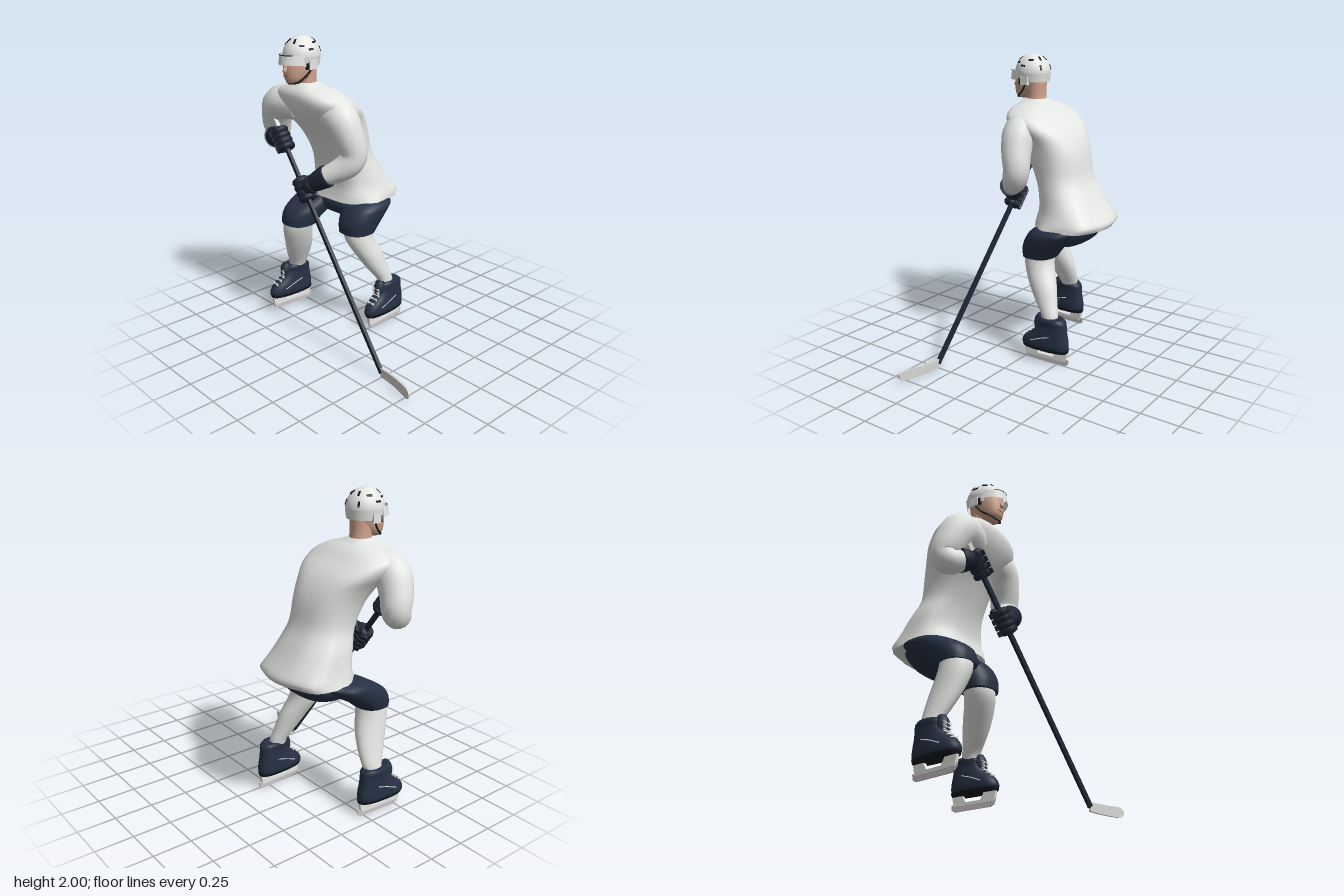
import * as THREE from 'three';

const mat = (name, color, side = THREE.FrontSide) => {
  const m = new THREE.MeshStandardMaterial({ color, side });
  m.name = name;
  return m;
};
const V = (x, y, z) => new THREE.Vector3(x, y, z);
const spline = pts => new THREE.CatmullRomCurve3(pts, false, 'catmullrom', 0.5);

// Skin a list of rings {c, u, v} (centre and two half axes) into a closed smooth body
function skin(rings, seg, n = 2, ripple = () => 1) {
  const pos = [], idx = [];
  const addRing = (r, t) => {
    for (let j = 0; j < seg; j++) {
      const a = (j / seg) * Math.PI * 2, k = ripple(a, t);
      const e = w => k * Math.sign(w) * Math.pow(Math.abs(w), 2 / n);
      const p = r.c.clone().addScaledVector(r.u, e(Math.cos(a))).addScaledVector(r.v, e(Math.sin(a)));
      pos.push(p.x, p.y, p.z);
    }
  };
  const last = rings.length - 1;
  rings.forEach((r, i) => addRing(r, i / last));
  for (let i = 0; i < last; i++) for (let j = 0; j < seg; j++) {
    const k = (j + 1) % seg, a = i * seg + j, b = i * seg + k;
    idx.push(a, a + seg, b, b, a + seg, b + seg);
  }
  // End caps with their own vertices
  for (const end of [0, last]) {
    const s = pos.length / 3;
    addRing(rings[end], end / last);
    pos.push(rings[end].c.x, rings[end].c.y, rings[end].c.z);
    for (let j = 0; j < seg; j++) {
      const a = s + j, b = s + (j + 1) % seg;
      if (end) idx.push(a, s + seg, b);
      else idx.push(a, b, s + seg);
    }
  }
  const g = new THREE.BufferGeometry();
  g.setAttribute('position', new THREE.Float32BufferAttribute(pos, 3));
  g.setIndex(idx);
  g.computeVertexNormals();
  return g;
}

// Horizontal slices, bottom to top: [y, centre x, half width, front z, back z]
function slices(list, n = 2, ripple = () => 1) {
  const mid = spline(list.map(([y, x, , f, b]) => V(x, y, (f + b) / 2)));
  const rad = spline(list.map(([, , w, f, b]) => V(w, (f - b) / 2, 0)));
  const count = (list.length - 1) * 3, rings = [];
  for (let i = 0; i <= count; i++) {
    const r = rad.getPoint(i / count);
    rings.push({ c: mid.getPoint(i / count), u: V(r.x, 0, 0), v: V(0, 0, r.y) });
  }
  return skin(rings, 32, n, ripple);
}

// Limb along a path: [x, y, z, radius]
function limb(list) {
  const mid = spline(list.map(p => V(p[0], p[1], p[2])));
  const rad = spline(list.map(p => V(p[3], 0, 0)));
  const count = (list.length - 1) * 4, rings = [];
  let u = V(0.3, 0.2, 1);
  for (let i = 0; i <= count; i++) {
    const t = mid.getTangent(i / count), r = rad.getPoint(i / count).x;
    u = u.clone().addScaledVector(t, -u.dot(t)).normalize();
    rings.push({ c: mid.getPoint(i / count), u: u.clone().multiplyScalar(r), v: u.clone().cross(t).multiplyScalar(r) });
  }
  return skin(rings, 18);
}

export function createModel() {
  const white = mat('white cloth', 0xe3e5e2);
  const shell = mat('white shell', 0xe6e7e5, THREE.DoubleSide);
  const navy = mat('navy cloth', 0x263144);
  const dark = mat('dark navy leather', 0x1e2635);
  const black = mat('black trim', 0x15181e);
  const skinTone = mat('skin', 0xd1a48d);
  const lip = mat('lips', 0xa87565);
  const steel = mat('pale steel', 0xc9c3c8);
  const tape = mat('blade tape', 0xd6d7d4);

  const model = new THREE.Group();
  model.name = 'skater';
  const add = (name, geo, m, parent = model) => {
    const o = new THREE.Mesh(geo, m);
    o.name = name;
    parent.add(o);
    return o;
  };
  const group = (name, parent = model) => {
    const g = new THREE.Group();
    g.name = name;
    parent.add(g);
    return g;
  };
  // Straight bar between two points
  const bar = (name, a, b, w, d, m, parent) => {
    const o = add(name, new THREE.BoxGeometry(w, a.distanceTo(b), d), m, parent);
    o.position.copy(a).lerp(b, 0.5);
    o.quaternion.setFromUnitVectors(V(0, 1, 0), b.clone().sub(a).normalize());
  };

  // Jersey with soft folds near the hem
  const folds = (a, t) => 1 + 0.025 * (1 - t) * (1 - t) * Math.sin(7 * a + 9 * t) + 0.014 * (1 - t) * Math.sin(4 * a - 14 * t);
  add('jerseyBody', slices([
    [0.89, -0.33, 0.305, 0.06, -0.41], [0.93, -0.33, 0.295, 0.05, -0.425], [1.0, -0.335, 0.272, 0.035, -0.375],
    [1.1, -0.34, 0.245, 0.05, -0.31], [1.21, -0.335, 0.215, 0.09, -0.25], [1.35, -0.34, 0.225, 0.16, -0.22],
    [1.45, -0.35, 0.255, 0.235, -0.18], [1.53, -0.36, 0.3, 0.285, -0.12], [1.6, -0.37, 0.305, 0.305, -0.035],
    [1.65, -0.375, 0.23, 0.3, 0.02], [1.685, -0.375, 0.12, 0.27, 0.08], [1.705, -0.375, 0.075, 0.25, 0.11],
  ], 2.45, folds), white);
  add('rightSleeve', limb([[-0.46, 1.55, 0.17, 0.115], [-0.61, 1.535, 0.21, 0.115], [-0.68, 1.43, 0.195, 0.103],
    [-0.71, 1.33, 0.17, 0.09], [-0.69, 1.285, 0.205, 0.08], [-0.61, 1.31, 0.255, 0.06]]), white);
  add('leftSleeve', limb([[-0.26, 1.54, 0.12, 0.115], [-0.12, 1.51, 0.13, 0.115], [-0.05, 1.4, 0.115, 0.1],
    [-0.022, 1.28, 0.095, 0.088], [-0.05, 1.2, 0.13, 0.083], [-0.16, 1.12, 0.235, 0.06]]), white);

  // Padded shorts
  add('shortsSeat', slices([[0.745, -0.33, 0.1, -0.1, -0.2], [0.785, -0.33, 0.22, 0.01, -0.27],
    [0.86, -0.33, 0.28, 0.05, -0.32], [0.93, -0.33, 0.2, -0.02, -0.33]], 2.4), navy);
  add('leftShortsLeg', slices([[0.69, -0.13, 0.118, 0.085, -0.135], [0.75, -0.128, 0.13, 0.085, -0.18],
    [0.82, -0.13, 0.142, 0.06, -0.24], [0.88, -0.145, 0.15, 0.015, -0.29], [0.92, -0.19, 0.11, -0.05, -0.28]], 2.4), navy);
  add('rightShortsLeg', slices([[0.685, -0.54, 0.115, 0.255, 0.04], [0.74, -0.54, 0.127, 0.25, -0.03],
    [0.8, -0.535, 0.14, 0.21, -0.13], [0.875, -0.525, 0.148, 0.08, -0.24], [0.92, -0.47, 0.11, -0.03, -0.27]], 2.4), navy);

  // Socks
  add('leftSock', slices([[0.29, -0.01, 0.048, -0.125, -0.24], [0.34, -0.018, 0.052, -0.115, -0.235],
    [0.42, -0.04, 0.064, -0.055, -0.212], [0.52, -0.068, 0.08, 0.01, -0.185], [0.64, -0.11, 0.094, 0.068, -0.135],
    [0.74, -0.13, 0.098, 0.07, -0.13]]), white);
  add('rightSock', slices([[0.29, -0.665, 0.048, 0.135, 0.02], [0.34, -0.65, 0.052, 0.148, 0.005],
    [0.42, -0.62, 0.064, 0.185, 0], [0.52, -0.585, 0.08, 0.222, 0.01], [0.64, -0.555, 0.093, 0.252, 0.04],
    [0.74, -0.54, 0.096, 0.24, 0.05]]), white);

  // Skates: boot, sole, laces, side stripe, holder and runner
  const plate = (name, points, depth, m, parent) => {
    const shape = new THREE.Shape(points.map(([x, y]) => new THREE.Vector2(x, y)));
    const g = new THREE.ExtrudeGeometry(shape, { depth, bevelEnabled: false });
    g.translate(0, 0, -depth / 2);
    add(name, g, m, parent).rotation.y = -Math.PI / 2;
  };
  for (const [side, x, z, yaw] of [['left', 0, -0.16, 0.06], ['right', -0.675, 0.13, -0.06]]) {
    const skate = group(side + 'Skate');
    skate.position.set(x, 0, z);
    skate.rotation.y = yaw;
    add('boot', slices([[0.1, 0, 0.056, 0.165, -0.16], [0.13, 0, 0.066, 0.175, -0.168], [0.175, 0, 0.064, 0.15, -0.165],
      [0.22, 0, 0.06, 0.09, -0.155], [0.27, 0, 0.057, 0.055, -0.15], [0.3, 0, 0.062, 0.05, -0.145],
      [0.32, 0, 0.056, 0.03, -0.125]], 2.5), navy, skate);
    add('tongue', limb([[0, 0.24, 0.05, 0.035], [0, 0.29, 0.045, 0.038], [0, 0.33, 0.035, 0.025]]), navy, skate);
    add('sole', slices([[0.092, 0, 0.054, 0.168, -0.165], [0.112, 0, 0.062, 0.174, -0.17]], 2.6), black, skate);
    [[0.185, 0.134], [0.207, 0.104], [0.229, 0.08], [0.251, 0.08], [0.273, 0.08]].forEach(([y, lz]) => {
      for (const s of [-1, 1]) bar('lace', V(-0.028 * s, y, lz), V(0.028 * s, y + 0.014, lz), 0.005, 0.009, shell, skate);
    });
    for (const s of [-1, 1]) {
      const stripe = spline([V(0.06 * s, 0.155, 0.085), V(0.063 * s, 0.185, 0.01), V(0.059 * s, 0.205, -0.06)]);
      add('sideStripe', new THREE.TubeGeometry(stripe, 10, 0.0035, 5), shell, skate);
    }
    plate('bladeHolder', [[-0.165, 0.1], [-0.15, 0.03], [0.15, 0.03], [0.165, 0.1], [0.08, 0.1], [0.05, 0.05],
      [-0.06, 0.05], [-0.09, 0.1]], 0.022, shell, skate);
    plate('bladeRunner', [[-0.15, 0], [0.12, 0], [0.147, 0.013], [0.16, 0.045], [-0.175, 0.045], [-0.17, 0.013]], 0.008, steel, skate);
  }

  // Stick: shaft, taped grip and curved blade
  const top = V(-0.605, 1.425, 0.27), heel = V(0.505, 0.035, 0.355);
  const stick = group('stick');
  const at = t => top.clone().lerp(heel, t);
  bar('shaft', top, heel, 0.03, 0.021, dark, stick);
  bar('gripTape', at(-0.005), at(0.06), 0.036, 0.027, tape, stick);
  const blade = new THREE.BoxGeometry(0.3, 0.07, 0.014, 16, 2, 1);
  const bp = blade.attributes.position;
  for (let i = 0; i < bp.count; i++) {
    const t = Math.min(1, Math.max(0, bp.getX(i) / 0.3 + 0.5));
    const taper = t > 0.85 ? Math.sqrt(1 - Math.pow((t - 0.85) / 0.16, 2)) : 1;
    bp.setXYZ(i, 0.5 + t * 0.3, 0.035 + 0.006 * t + bp.getY(i) * (0.85 + 0.15 * t) * taper,
      0.352 + 0.065 * Math.pow(t, 1.7) + bp.getZ(i));
  }
  blade.computeVertexNormals();
  add('stickBlade', blade, tape, stick);

  // Gloves: flared cuff, palm, padded fingers curled round the shaft
  const along = heel.clone().sub(top).normalize();
  const fingerGeo = new THREE.TorusGeometry(0.036, 0.0245, 8, 14);
  const padGeo = new THREE.BoxGeometry(0.026, 0.032, 0.043);
  for (const [side, t, w, k] of [
    ['right', 0.08, V(-0.635, 1.305, 0.24), V(-0.575, 1.325, 0.27)],
    ['left', 0.288, V(-0.135, 1.135, 0.225), V(-0.225, 1.07, 0.275)]]) {
    const glove = group(side + 'Glove');
    const grip = at(t);
    const station = (p, r) => [p.x, p.y, p.z, r];
    add('cuff', limb([station(w, 0.076), station(w.clone().lerp(k, 0.5), 0.068), station(k, 0.056)]), dark, glove);
    add('palm', limb([station(k, 0.06), station(k.clone().lerp(grip, 0.6), 0.056), station(grip, 0.045)]), dark, glove);
    const hand = group('grip', glove);
    hand.position.copy(grip);
    const back = k.clone().sub(grip);
    const xAxis = back.clone().addScaledVector(along, -back.dot(along)).normalize();
    hand.quaternion.setFromRotationMatrix(new THREE.Matrix4().makeBasis(xAxis, along, xAxis.clone().cross(along)));
    for (let i = 0; i < 4; i++) {
      const finger = add('finger', fingerGeo, dark, hand);
      finger.rotation.x = Math.PI / 2;
      finger.position.y = -0.057 + i * 0.039;
      for (const a of [0.9, 2.1]) {
        const pad = add('fingerPad', padGeo, dark, hand);
        pad.position.set(0.055 * Math.cos(a), finger.position.y, 0.055 * Math.sin(a));
        pad.rotation.y = -a;
      }
    }
    add('thumb', limb([[0.05, -0.045, -0.02, 0.026], [0, -0.07, 0.03, 0.026], [-0.035, -0.065, 0.035, 0.02]]), dark, hand);
  }

  // Head and neck
  const head = group('head');
  head.position.x = -0.375;
  add('neck', slices([[1.66, 0, 0.075, 0.25, 0.1], [1.72, 0, 0.066, 0.25, 0.115], [1.84, 0, 0.07, 0.26, 0.11]]), skinTone, head);
  add('face', slices([[1.705, 0, 0.035, 0.315, 0.24], [1.73, 0, 0.06, 0.335, 0.19], [1.775, 0, 0.077, 0.343, 0.14],
    [1.84, 0, 0.086, 0.34, 0.11], [1.9, 0, 0.08, 0.325, 0.11]], 2.2), skinTone, head);
  add('nose', limb([[0, 1.835, 0.336, 0.009], [0, 1.805, 0.345, 0.012], [0, 1.79, 0.351, 0.014], [0, 1.78, 0.343, 0.008]]), skinTone, head);
  add('mouth', new THREE.BoxGeometry(0.044, 0.008, 0.008), lip, head).position.set(0, 1.757, 0.339);

  // Helmet: dome, skirt, visor, vents and chin strap
  const centre = V(0, 1.875, 0.212), size = V(0.114, 0.125, 0.124);
  const dome = add('helmetDome', new THREE.SphereGeometry(1, 28, 10, 0, Math.PI * 2, 0, Math.PI / 2), shell, head);
  dome.position.copy(centre);
  dome.scale.copy(size);
  const skirt = add('helmetSkirt', new THREE.CylinderGeometry(1, 0.93, 0.06, 28, 1, true, 1, Math.PI * 2 - 2), shell, head);
  skirt.position.set(0, 1.846, 0.212);
  skirt.scale.set(0.114, 1, 0.124);
  const visor = add('visor', new THREE.CylinderGeometry(0.94, 1, 0.062, 20, 1, true, -1.3, 2.6), shell, head);
  visor.position.set(0, 1.86, 0.235);
  visor.scale.set(0.109, 1, 0.14);
  const brim = add('brimLine', new THREE.CylinderGeometry(0.96, 0.96, 0.006, 16, 1, true, -0.7, 1.4), black, head);
  brim.position.set(0, 1.89, 0.235);
  brim.scale.set(0.109, 1, 0.141);
  for (const s of [-1, 1]) {
    add('earGuard', new THREE.BoxGeometry(0.018, 0.06, 0.06), shell, head).position.set(0.104 * s, 1.828, 0.21);
    add('earPad', new THREE.BoxGeometry(0.02, 0.04, 0.03), black, head).position.set(0.097 * s, 1.82, 0.24);
    const strap = spline([V(0.1 * s, 1.82, 0.2), V(0.08 * s, 1.76, 0.24), V(0.055 * s, 1.718, 0.295), V(0, 1.705, 0.315)]);
    add('chinStrap', new THREE.TubeGeometry(strap, 12, 0.006, 5), black, head);
    // Vents: angle round the head from the front, then height angle
    for (const [turn, lift] of [[0.4, 0.85], [0.95, 0.6], [1.5, 0.4], [2.0, 0.75], [2.75, 0.85], [2.6, 0.3]]) {
      const d = V(Math.sin(turn) * Math.cos(lift) * s, Math.sin(lift), Math.cos(turn) * Math.cos(lift));
      const vent = add('vent', new THREE.BoxGeometry(0.012, 0.034, 0.006), black, head);
      vent.position.copy(d).multiply(size).add(centre);
      vent.lookAt(d.clone().divide(size).add(vent.position).add(head.position));
      if (turn > 0.8 && turn < 2.2) vent.rotateZ(Math.PI / 2);
    }
  }
  return model;
}
